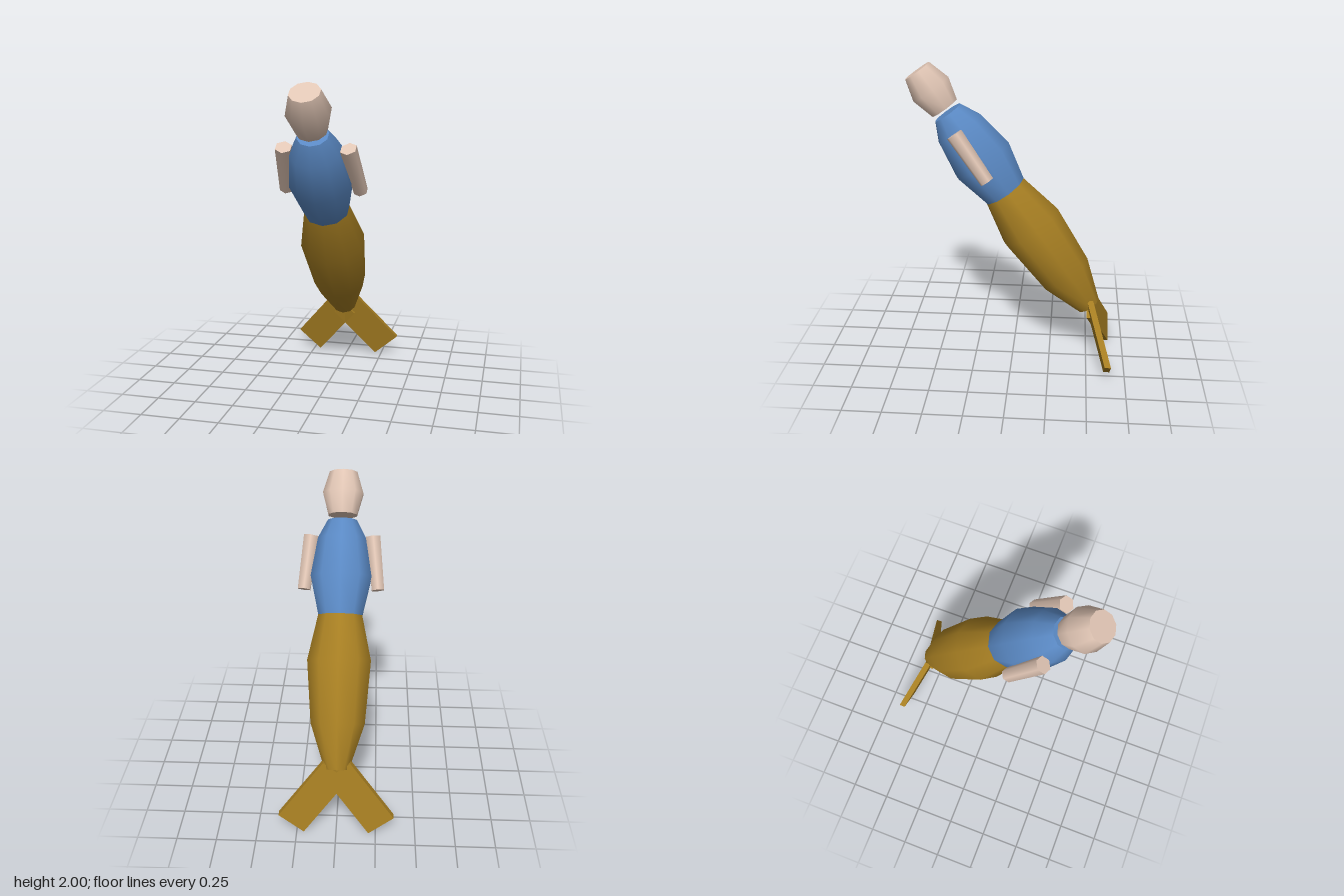
import * as THREE from 'three';

const skin = new THREE.MeshStandardMaterial({ name: 'skin', color: 0xe0c5b4 });
const blue = new THREE.MeshStandardMaterial({ name: 'shirtBlue', color: 0x5a89c4 });
const gold = new THREE.MeshStandardMaterial({ name: 'tailGold', color: 0xa67e22 });

function addMesh(parent, name, geometry, material) {
  const mesh = new THREE.Mesh(geometry, material);
  mesh.name = name;
  parent.add(mesh);
  return mesh;
}

// Ten-sided turned solid with smooth sides and sharp flat ends; profile is [radius, height], bottom to top
function turned(profile) {
  const first = profile[0], last = profile[profile.length - 1];
  const points = [[0, first[1]], first, ...profile, last, [0, last[1]]];
  return new THREE.LatheGeometry(points.map(([r, h]) => new THREE.Vector2(r, h)), 10);
}

export function createModel() {
  const model = new THREE.Group();
  model.name = 'mermaid';

  // Leaning body, with its origin at the waist
  const body = new THREE.Group();
  body.name = 'body';
  body.position.set(0, 1.19, 0.05);
  body.rotation.x = 0.61;
  model.add(body);

  addMesh(body, 'tail', turned([[0.08, -0.97], [0.178, -0.683], [0.21, -0.288], [0.146, 0]]), gold);
  addMesh(body, 'torso', turned([[0.146, 0], [0.202, 0.245], [0.16, 0.49], [0.097, 0.61]]), blue);
  addMesh(body, 'head', turned([[0.096, 0.645], [0.135, 0.785], [0.093, 0.922]]), skin);

  for (const side of [1, -1]) {
    const label = side > 0 ? 'left' : 'right';

    // Tapered six-sided arm, splayed outward
    const armGeometry = new THREE.CylinderGeometry(0.053, 0.045, 0.345, 6);
    const arm = addMesh(body, label + 'Arm', armGeometry, skin);
    arm.position.set(side * 0.216, 0.335, -0.008);
    arm.rotation.z = side * 0.11;

    // Fluke: plate slanted backward toward its tip
    const plate = new THREE.BoxGeometry(0.205, 0.43, 0.04);
    const p = plate.attributes.position;
    for (let i = 0; i < p.count; i++) p.setZ(i, p.getZ(i) + p.getY(i) * 0.28);
    plate.computeVertexNormals();
    const fluke = addMesh(model, label + 'Fluke', plate, gold);
    fluke.position.set(side * 0.145, 0.233, -0.575);
    fluke.rotation.z = side * 0.7;
  }
  return model;
}
